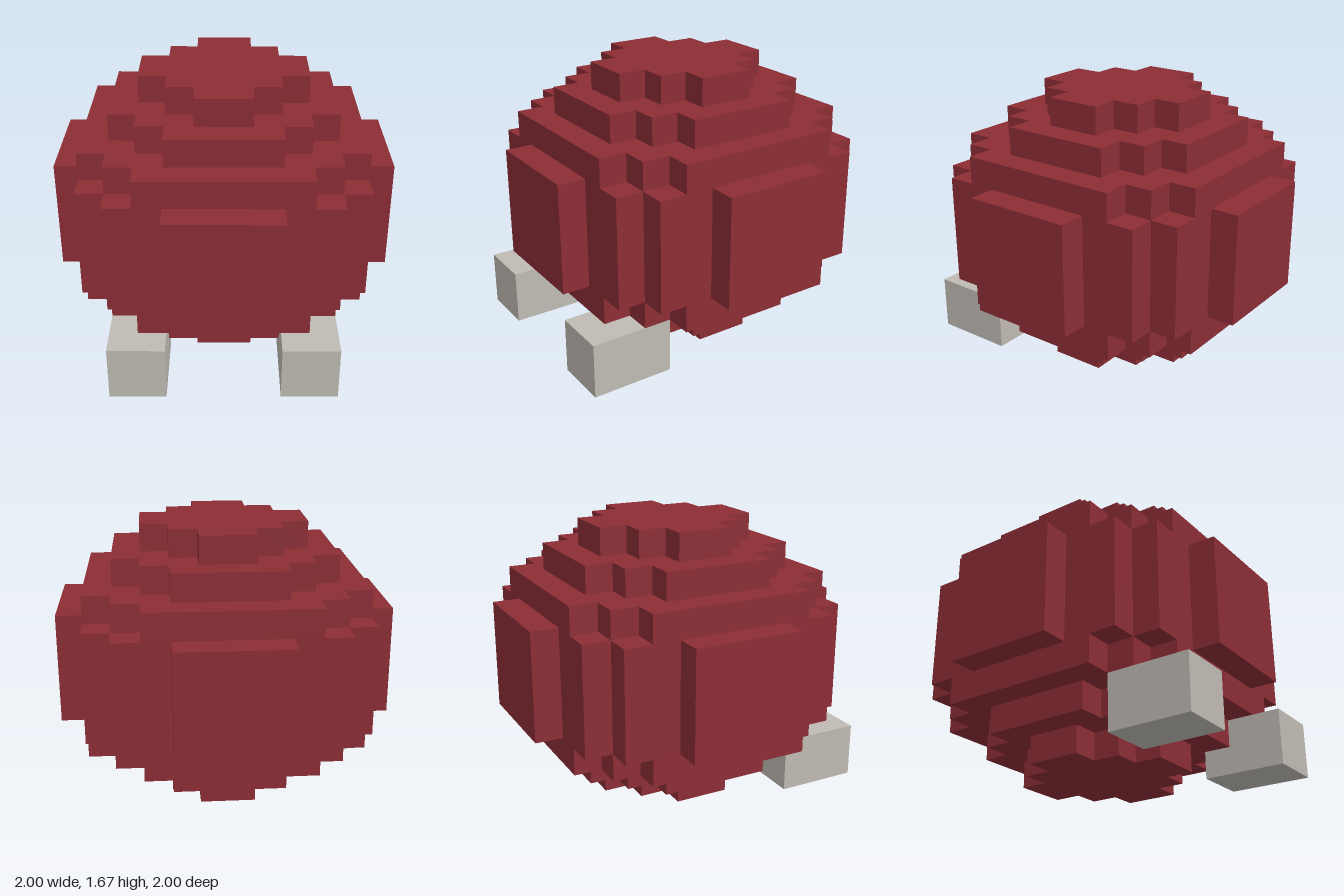
import * as THREE from 'three';

const U = 1 / 6; // edge length of one block

// Horizontal slab with a stepped outline. rows[i] is the half width (in blocks)
// of the row lying between i and i + 1 blocks from the centre line.
function steppedSlab(name, rows, y0, y1, material) {
  const quarter = [];
  rows.forEach((w, i) => {
    if (i === 0 || rows[i - 1] !== w) quarter.push([w, i]);
    if (rows[i + 1] !== w) quarter.push([w, i + 1]);
  });
  // skip the point on the centre line, then mirror into all four quadrants
  const q = quarter.slice(1);
  const r = [...q].reverse();
  const outline = [
    ...q,
    ...r.map(([x, z]) => [-x, z]),
    ...q.map(([x, z]) => [-x, -z]),
    ...r.map(([x, z]) => [x, -z]),
  ];
  const shape = new THREE.Shape(outline.map(([x, z]) => new THREE.Vector2(x * U, z * U)));
  const geometry = new THREE.ExtrudeGeometry(shape, { depth: (y1 - y0) * U, bevelEnabled: false });
  geometry.rotateX(-Math.PI / 2);
  const mesh = new THREE.Mesh(geometry, material);
  mesh.name = name;
  mesh.position.y = y0 * U;
  return mesh;
}

export function createModel() {
  const red = new THREE.MeshStandardMaterial({ color: 0x8c2d35 });
  red.name = 'deep red';
  const grey = new THREE.MeshStandardMaterial({ color: 0xbfbab3 });
  grey.name = 'warm grey';

  const model = new THREE.Group();
  model.name = 'blockyRoundCreature';

  // Round body: stacked stepped layers, the same above and below the middle
  const body = new THREE.Group();
  body.name = 'body';
  const layers = [
    ['Cap', [3, 2, 1], 0],
    ['Ring', [4, 4, 3, 2], 1],
    ['Shoulder', [5, 5, 5, 4, 3], 2],
  ];
  for (const [label, rows, y] of layers) {
    body.add(steppedSlab('lower' + label, rows, y, y + 1, red));
    body.add(steppedSlab('upper' + label, rows, 9 - y, 10 - y, red));
  }
  // Tall middle band, including the raised panel on each of its four sides
  body.add(steppedSlab('middleBand', [6, 6, 5, 5, 4, 2], 3, 7, red));
  model.add(body);

  // Feet at the front
  for (const side of [1, -1]) {
    const foot = new THREE.Mesh(new THREE.BoxGeometry(2 * U, 2 * U, 3 * U), grey);
    foot.name = side > 0 ? 'leftFoot' : 'rightFoot';
    foot.position.set(side * 3 * U, U, 4.5 * U);
    model.add(foot);
  }
  return model;
}
